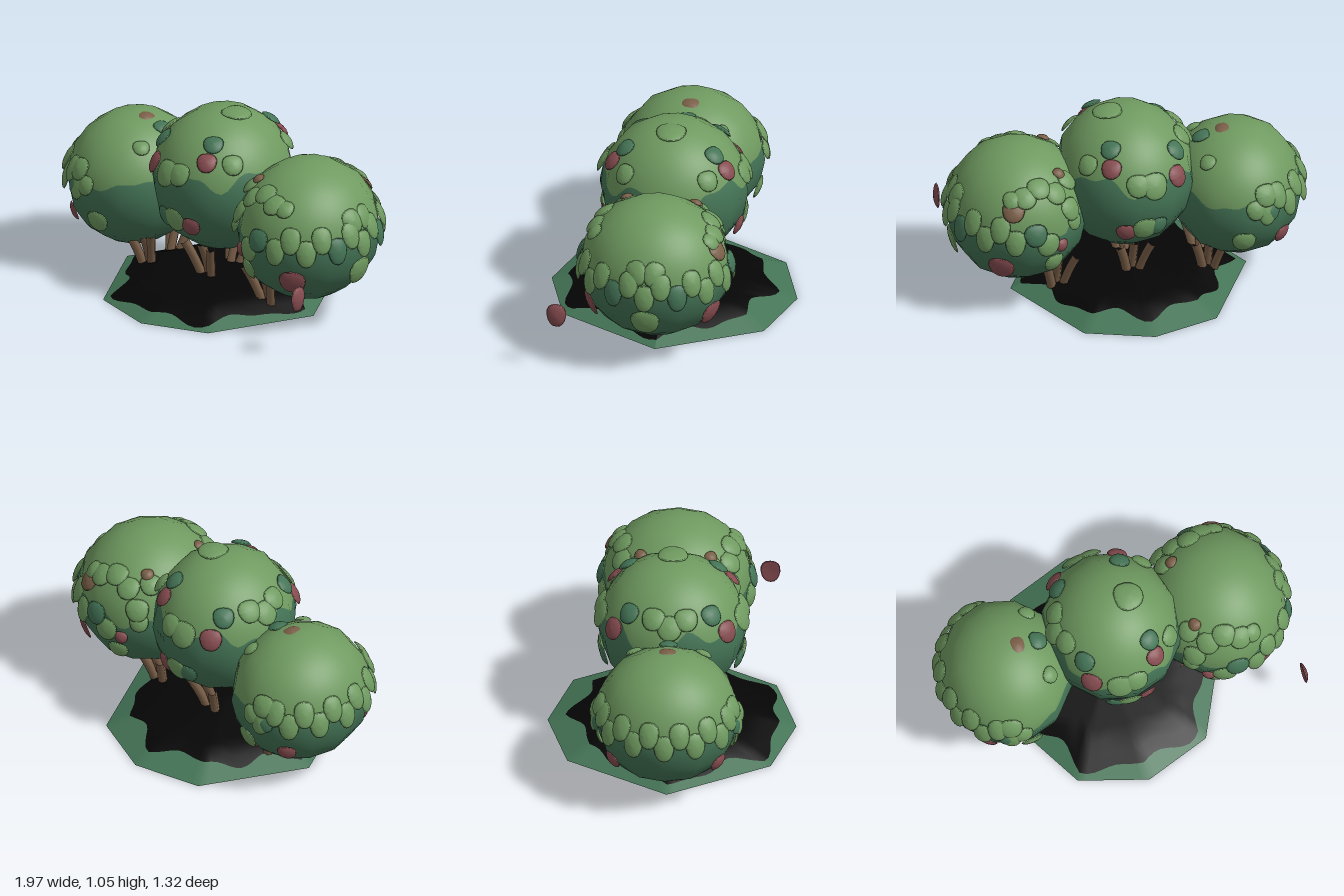
import * as THREE from 'three';

const mat = (name, color) => new THREE.MeshStandardMaterial({ name, color });

// Grid surface from a rule f(u, v) -> position; optional rule for normals
function surface(nu, nv, f, normalAt) {
  const pos = [], nor = [], idx = [];
  for (let j = 0; j <= nv; j++) for (let i = 0; i <= nu; i++) {
    const p = f(i / nu, j / nv);
    pos.push(p.x, p.y, p.z);
    if (normalAt) nor.push(...normalAt(p).toArray());
  }
  for (let j = 0; j < nv; j++) for (let i = 0; i < nu; i++) {
    const a = j * (nu + 1) + i, b = a + 1, c = a + nu + 1, d = c + 1;
    idx.push(a, b, c, b, d, c);
  }
  const g = new THREE.BufferGeometry();
  g.setAttribute('position', new THREE.Float32BufferAttribute(pos, 3));
  g.setIndex(idx);
  if (normalAt) g.setAttribute('normal', new THREE.Float32BufferAttribute(nor, 3));
  else g.computeVertexNormals();
  return g;
}

// Pillow-like leaf, one unit wide and high, bent around the ball
function leafGeometry() {
  const g = new THREE.SphereGeometry(1, 16, 8).rotateX(Math.PI / 2);
  const p = g.attributes.position;
  for (let i = 0; i < p.count; i++) {
    const x = p.getX(i), y = p.getY(i), z = p.getZ(i);
    const taper = 0.95 + 0.14 * y;
    p.setXYZ(i, Math.sign(x) * Math.pow(Math.abs(x), 0.85) * 0.5 * taper,
      Math.sign(y) * Math.pow(Math.abs(y), 0.9) * 0.5, z * 0.01 - 0.011 * (x * x + y * y));
  }
  g.computeVertexNormals();
  return g;
}

// Single leaves: [colour, x, y, size, place], on front and back unless a place is given
const leftLeaves = [
  ['l', -0.69, 0.61, 1.1], ['d', -0.71, 0.52, 1], ['l', -0.63, 0.54, 0.95], ['r', -0.79, 0.32, 0.9],
  ['l', -0.57, 0.34, 1.1], ['d', -0.43, 0.78, 0.9, 'ridge'], ['l', -0.41, 0.75, 0.8],
];
const middleLeaves = [
  ['d', -0.23, 0.87, 1], ['r', -0.22, 0.76, 1.05], ['l', -0.08, 0.755, 1.3], ['l', 0.01, 0.77, 1.1],
  ['d', 0.13, 0.93, 0.95], ['r', 0.14, 0.85, 0.95], ['l', 0.25, 0.84, 1], ['l', -0.29, 0.88, 1.1],
  ['d', -0.1, 0.5, 1], ['l', -0.03, 0.5, 1.2], ['r', 0.07, 0.48, 0.95],
  ['l', 0.1, 1.05, 1.4, 'ridge'], ['l', -0.33, 0.85, 1.2, 'ridge'],
];
const rightLeaves = [
  ['l', 0.36, 0.75, 1], ['l', 0.44, 0.73, 1.1], ['l', 0.53, 0.77, 1.1], ['l', 0.61, 0.74, 1.1], ['l', 0.68, 0.73, 0.9],
  ['l', 0.36, 0.63, 1.1], ['l', 0.34, 0.56, 0.9], ['l', 0.5, 0.48, 1.15], ['r', 0.42, 0.45, 0.65],
  ['l', 0.46, 0.34, 1], ['r', 0.74, 0.33, 1.25], ['b', 0.4, 0.79, 0.6], ['d', 0.57, 0.55, 1.1],
  ['l', 0.95, 0.34, 1.35, 'ridge'], ['b', 0.68, 0.68, 1.05, 'back'],
];
const sides = { both: [1, -1], back: [-1], ridge: [0] };

export function createModel() {
  const root = new THREE.Group();
  root.name = 'bushes';
  const light = mat('lightGreen', 0x6f9a60), dark = mat('darkGreen', 0x447456);
  const red = mat('redLeaf', 0x864c50), brown = mat('bark', 0x7a5f48), soil = mat('blackSoil', 0x050505);
  const colours = { l: light, d: dark, r: red, b: brown };
  const add = (parent, name, geo, m) => {
    const mesh = new THREE.Mesh(geo, m);
    mesh.name = name;
    parent.add(mesh);
    return mesh;
  };

  // Ground: eight-sided mound with a ragged dark patch
  const edge = t => {
    const x = Math.abs(Math.cos(t)), z = Math.abs(Math.sin(t));
    return Math.min(1 / (x / 0.64 + 0.81 * z), 1 / (z / 0.66 + 0.505 * x));
  };
  const height = q => q < 0.7 ? 0.125 - 0.045 * q / 0.7 : 0.08 * (1 - q) / 0.3;
  const patch = t => 0.89 - 0.1 * Math.max(0, -Math.sin(t)) + 0.045 * Math.sin(7 * t) + 0.025 * Math.sin(12 * t + 1);
  const mound = (from, to) => surface(96, 8, (u, v) => {
    const t = u * Math.PI * 2, q = from(t) + (to(t) - from(t)) * v, r = edge(t) * q;
    return new THREE.Vector3(r * Math.cos(t) - 0.02, height(q), r * Math.sin(t));
  });
  const ground = new THREE.Group();
  ground.name = 'ground';
  root.add(ground);
  add(ground, 'soilPatch', mound(() => 0, patch), soil);
  add(ground, 'groundRim', mound(patch, () => 1), dark);
  const outline = [[0.62, 0], [0.34, 0.54], [-0.02, 0.66], [-0.38, 0.54], [-0.66, 0], [-0.38, -0.54], [-0.02, -0.66], [0.34, -0.54]];
  add(ground, 'groundUnderside', new THREE.ShapeGeometry(new THREE.Shape(outline.map(p => new THREE.Vector2(...p))))
    .rotateX(Math.PI / 2).translate(0, 0.001, 0), dark);
  for (const x of [-0.4, 0.4])
    add(ground, 'rootPlate', new THREE.BoxGeometry(0.1, 0.004, 0.26).translate(x, 0.002, 0.02), brown);

  // Trunks: three stems fan out from each base, in front and behind
  for (const [x, y] of [[-0.43, 0.05], [-0.02, 0.08], [0.39, 0.05]])
    for (const fan of [-1, 0, 1]) for (const s of [1, -1]) {
      const bx = x + 0.03 * fan, tx = x + 0.09 * fan, bz = 0.08 + 0.03 * Math.abs(fan), tz = bz + 0.08;
      const curve = new THREE.QuadraticBezierCurve3(new THREE.Vector3(bx, y, s * bz),
        new THREE.Vector3(bx + 0.02 * fan, y + 0.11, s * (bz + 0.03)),
        new THREE.Vector3(tx, y + 0.22, s * tz));
      add(root, 'trunk', new THREE.TubeGeometry(curve, 5, 0.025, 6), brown);
    }

  // Foliage balls: outward tells which end carries a skirt of hanging leaves
  const balls = [
    { name: 'leftBush', c: [-0.6, 0.49, 0], r: [0.36, 0.37, 0.39], border: 0.56, wave: 0.025, outward: -1, leaves: leftLeaves },
    { name: 'middleBush', c: [0, 0.645, 0], r: [0.375, 0.395, 0.4], border: 0.75, wave: 0.045, outward: 0, leaves: middleLeaves },
    { name: 'rightBush', c: [0.585, 0.505, 0], r: [0.38, 0.385, 0.405], border: 0.55, wave: 0.03, outward: 1, leaves: rightLeaves },
  ];
  const leafGeo = leafGeometry(), up = new THREE.Vector3(0, 1, 0);

  for (const { name, c, r, border, wave, outward, leaves } of balls) {
    const bush = new THREE.Group();
    bush.name = name;
    root.add(bush);
    const C = new THREE.Vector3(...c), rad = new THREE.Vector3(...r);
    const normalAt = p => p.clone().sub(C).divide(rad).divide(rad).normalize();

    // Coarse facets: points are interpolated on a 12 by 8 sphere grid
    const knot = (i, j) => {
      const t = i * Math.PI / 6, f = j * Math.PI / 8;
      return new THREE.Vector3(Math.sin(f) * Math.cos(t), Math.cos(f), Math.sin(f) * Math.sin(t)).multiply(rad).add(C);
    };
    const point = (a, b) => {
      const i = Math.floor(a), j = Math.min(7, Math.floor(b));
      return knot(i, j).lerp(knot(i + 1, j), a - i).lerp(knot(i, j + 1).lerp(knot(i + 1, j + 1), a - i), b - j);
    };
    const split = a => {
      const t = a * Math.PI / 6;
      const y = border + wave * (Math.sin(5 * t + c[0] * 4) + 0.5 * Math.cos(11 * t));
      return Math.acos((y - c[1]) / r[1]) * 8 / Math.PI;
    };
    add(bush, 'foliageTop', surface(72, 24, (u, v) => point(u * 12, v * split(u * 12)), normalAt), light);
    add(bush, 'foliageBottom', surface(72, 24, (u, v) => {
      const s = split(u * 12);
      return point(u * 12, s + v * (8 - s));
    }, normalAt), dark);

    // A leaf lies on the ball with its tip lifted
    const place = (key, direction, w, h) => {
      const p = direction.normalize().multiply(rad).add(C), n = normalAt(p);
      const side = up.clone().cross(n).normalize();
      const leaf = add(bush, 'leaf', leafGeo, colours[key]);
      leaf.quaternion.setFromRotationMatrix(new THREE.Matrix4().makeBasis(side, n.clone().cross(side), n));
      leaf.rotateX(-0.16);
      leaf.position.copy(p).addScaledVector(n, 0.01);
      leaf.scale.set(w, h, 1);
    };
    for (const [key, x, y, size, where = 'both'] of leaves) {
      const dx = (x - c[0]) / r[0], dy = (y - c[1]) / r[1];
      const dz = Math.sqrt(Math.max(0.02, 1 - dx * dx - dy * dy));
      for (const s of sides[where]) place(key, new THREE.Vector3(dx, dy, s * dz), 0.12 * size, 0.115 * size);
    }

    // Skirt: two staggered, overlapping rows around the outer end
    if (outward) for (let i = -6; i <= 6; i++) {
      const a = i * 0.22, y = border + (i % 2 ? 0.03 : -0.04);
      const dy = (y - c[1]) / r[1], q = Math.sqrt(1 - dy * dy);
      place(outward > 0 && Math.abs(i) === 2 ? 'd' : 'l',
        new THREE.Vector3(outward * q * Math.cos(a), dy, q * Math.sin(a)), 0.115, 0.15);
    }
  }

  // Heart-like pair of leaves on the right end
  for (const s of [1, -1]) {
    const half = add(root, 'heartLeaf', leafGeo, light);
    half.position.set(0.935, 0.645, s * 0.05);
    half.rotation.set(0, Math.PI / 2 - s * 0.1, 0.35 * s, 'YXZ');
    half.rotateX(-0.45);
    half.scale.set(0.12, 0.14, 1);
  }

  // Loose leaves: one drifting beside the right bush, one resting above the left
  const drifting = add(root, 'driftingLeaf', leafGeo, red);
  drifting.position.set(0.92, 0.33, 0.48);
  drifting.rotation.y = Math.PI / 2;
  drifting.scale.set(0.11, 0.14, 1);
  const resting = add(root, 'restingLeaf', leafGeo, brown);
  resting.position.set(-0.53, 0.845, 0);
  resting.rotation.set(-Math.PI / 2, 0.15, 0);
  resting.scale.set(0.1, 0.11, 1);
  return root;
}
